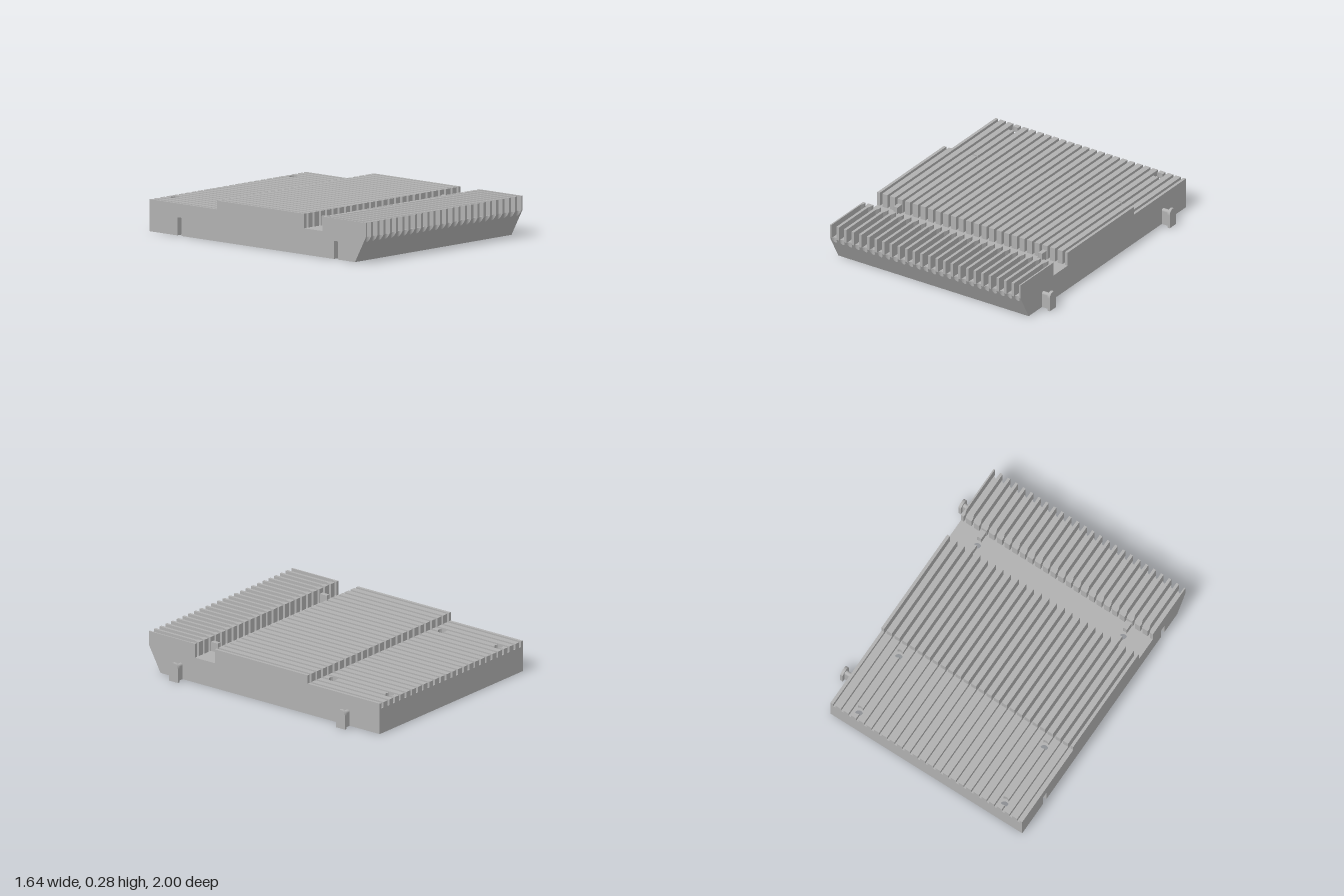
import * as THREE from 'three';
import { mergeGeometries } from 'three/addons/utils/BufferGeometryUtils.js';

const X0 = -0.82, X1 = 0.74, COUNT = 25, PITCH = (X1 - X0) / COUNT;
const FLOOR = 0.18, SLOT_TOP = 0.125, TOP = 0.28, STEP = 0.22;
const WIDE = 0.021, NARROW = PITCH / 2 - 0.021; // half widths of the ribs
const HOLE_R = 0.03, HOLE_RIBS = [3, 22], HOLE_Z = [-0.938, -0.45, 0.513];
const TAB_Z = [0.724, -0.724];
const ribX = k => X0 + k * PITCH;

// Extrudes a plan outline of [x, z] points upward from y0 to y1
function slab(points, y0, y1, holes = [], steps = 1) {
  const shape = new THREE.Shape(points.map(([x, z]) => new THREE.Vector2(x, -z)));
  for (const [x, z] of holes) {
    const path = new THREE.Path();
    path.absarc(x, -z, HOLE_R, 0, Math.PI * 2, true);
    shape.holes.push(path);
  }
  const g = new THREE.ExtrudeGeometry(shape, { depth: y1 - y0, bevelEnabled: false, curveSegments: 12, steps });
  g.rotateX(-Math.PI / 2);
  g.translate(0, y0, 0);
  return g;
}

// Slopes the front edge back toward the base, trimming scallops against the slope
function slopeFront(g, y0, y1) {
  const p = g.attributes.position;
  for (let i = 0; i < p.count; i++) {
    const y = p.getY(i), z = p.getZ(i);
    if (z < 0.95) continue;
    if (y < y0 + 1e-4) p.setZ(i, 0.9 + 0.1 * y0 / FLOOR);
    else if (y < y1 - 1e-4) p.setY(i, (z - 0.9) * FLOOR / 0.1);
    else p.setZ(i, Math.min(z, 0.9 + 0.1 * y1 / FLOOR));
  }
  g.computeVertexNormals();
  return g;
}

// Straight rib piece; each end may be hollowed by a screw hole centred on that end
function rib(x, half, z0, z1, y0, y1, cutBack = false, cutFront = false) {
  const a = Math.max(x - half, X0), b = Math.min(x + half, X1), pts = [];
  const end = (z, cut, sign, from, to) => {
    const n = cut ? 6 : 1;
    for (let i = 0; i <= n; i++) {
      const px = from + (to - from) * i / n;
      pts.push([px, z + (cut ? sign * Math.sqrt(HOLE_R ** 2 - (px - x) ** 2) : 0)]);
    }
  };
  end(z0, cutBack, 1, a, b);
  end(z1, cutFront, -1, b, a);
  return slab(pts, y0, y1);
}

// Arched upright profile, extruded along x
function arch(x0, x1, half, height) {
  const s = new THREE.Shape();
  s.moveTo(-half, 0);
  s.lineTo(half, 0);
  s.lineTo(half, height - half);
  s.absarc(0, height - half, half, 0, Math.PI, false);
  s.closePath();
  const g = new THREE.ExtrudeGeometry(s, { depth: x1 - x0, bevelEnabled: false, curveSegments: 12 });
  g.rotateY(Math.PI / 2);
  g.translate(x0, 0, 0);
  return g;
}

export function createModel() {
  const group = new THREE.Group();
  const grey = new THREE.MeshStandardMaterial({ color: 0xb0b0b0 });
  grey.name = 'grey';
  const add = (name, geometry) => {
    const mesh = new THREE.Mesh(geometry, grey);
    mesh.name = name;
    group.add(mesh);
    return mesh;
  };
  const holes = HOLE_RIBS.flatMap(k => HOLE_Z.map(z => [ribX(k), z]));

  // Lower base with T-shaped sockets in one side
  const lower = [[X0, -1], [X1, -1], [X1, 1], [X0, 1]];
  for (const z of TAB_Z) {
    const a = X0 + 0.055, b = X0 + 0.085;
    lower.push([X0, z + 0.02], [a, z + 0.02], [a, z + 0.042], [b, z + 0.042],
      [b, z - 0.042], [a, z - 0.042], [a, z - 0.02], [X0, z - 0.02]);
  }
  add('lowerBase', slopeFront(slab(lower, 0, SLOT_TOP, holes), 0, SLOT_TOP));

  // Upper base with a scallop at the front of every groove
  const upper = [[X0, -1], [X1, -1], [X1, 1]];
  for (let k = COUNT - 1; k >= 0; k--) {
    for (let i = 0; i <= 8; i++) {
      const t = Math.PI * i / 8;
      upper.push([ribX(k + 0.5) + WIDE * Math.cos(t), 1 - WIDE * Math.sin(t)]);
    }
  }
  upper.push([X0, 1]);
  add('upperBase', slopeFront(slab(upper, SLOT_TOP, FLOOR, holes, 2), SLOT_TOP, FLOOR));

  // Ribs: low at the back, tall in the middle, flared then thin at the front
  const rear = [], middle = [], front = [], bridges = [];
  for (let k = 0; k <= COUNT; k++) {
    const x = ribX(k);
    if (HOLE_RIBS.includes(k)) {
      rear.push(rib(x, WIDE, -1, HOLE_Z[0], FLOOR, STEP, false, true));
      rear.push(rib(x, WIDE, HOLE_Z[0], HOLE_Z[1], FLOOR, STEP, true, true));
      rear.push(rib(x, WIDE, HOLE_Z[1], -0.375, FLOOR, STEP, true, false));
      bridges.push(rib(x, 0.016, 0.43, HOLE_Z[2], FLOOR, 0.245, false, true));
      bridges.push(rib(x, 0.016, HOLE_Z[2], 0.6, FLOOR, 0.245, true, false));
    } else {
      rear.push(rib(x, WIDE, -1, -0.375, FLOOR, STEP));
    }
    middle.push(rib(x, WIDE, -0.375, 0.43, FLOOR, TOP));
    const clampX = v => Math.min(Math.max(v, X0), X1);
    const side = [[WIDE, 0.6], [WIDE, 0.62], [NARROW, 0.65], [NARROW, 1]];
    front.push(slab([
      ...side.map(([w, z]) => [clampX(x + w), z]),
      ...side.slice().reverse().map(([w, z]) => [clampX(x - w), z]),
    ], FLOOR, TOP));
  }
  add('rearRibs', mergeGeometries(rear));
  add('middleRibs', mergeGeometries(middle));
  add('frontRibs', mergeGeometries(front));
  add('channelBridges', mergeGeometries(bridges));

  // Connector tabs on the other side
  for (const z of TAB_Z) {
    add('tabStem', arch(X1, 0.805, 0.016, 0.115)).position.z = z;
    add('tabHead', arch(0.8, 0.82, 0.0375, 0.135)).position.z = z;
  }
  return group;
}
